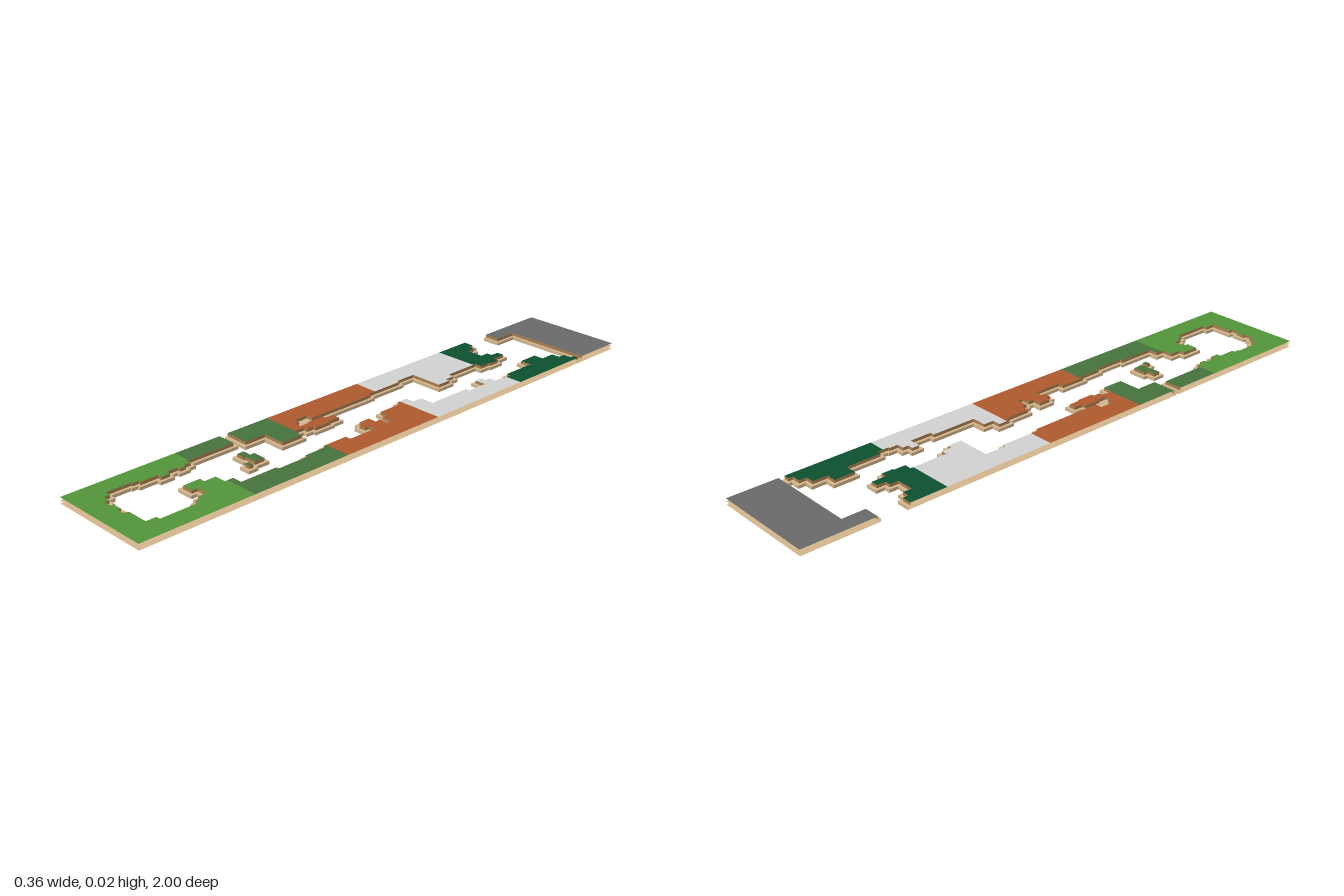
import * as THREE from 'three';

const mat = (name, color) => {
  const m = new THREE.MeshStandardMaterial({ color, side: THREE.DoubleSide });
  m.name = name;
  return m;
};

// Land outlines in hundredths of a unit, right-angled steps: x, z, x, z ...
const OUTLINES = {
  backPlateau: [-18, -100, 18, -83, -12.5, -75, -18],
  leftBank: [
    -18, -64, -14.5, -62, -12, -59, -6, -62, -4, -65, -1.5, -60, 0.5, -56, 0, -52,
    -2.5, -39, -0.5, -35.5, 1, -30.5, -10.5, -23, -9.5, -9, -8.5, 16, -11, 21,
    -9, 22.5, -6.5, 19, -7, 13, -5.5, 10, -3, 14, -2.5, 20, -3.5, 22.5, -5, 26.5,
    -1.5, 34, -9.5, 41.5, -18],
  mainBank: [
    -18, 44.5, -11.5, 61.5, -10, 64, -9, 66, -10, 70, -8.5, 73, -10, 79, -11, 81,
    -11.5, 89.5, -9.5, 91.5, -7, 93, -4, 92, -1, 93, 2, 91.5, 9.5, 88, 11, 75,
    9.5, 73, 8, 70, 4, 72, 0, 66, 2, 62, 6, 59, 9.5, 46, 10.5, 35, 9.5, 27,
    8.5, 18, 10.5, 8, 8, 9.5, 5.5, 8, 4, 4, 7, 2, 10, 0, 6, -2, 3, -11,
    1.5, -15, 4.5, -18.5, 9.5, -34, 11, -41.5, 7, -44, 9, -46, 11.5, -49,
    12, -53, 10.5, -65, 6.5, -72, 10, -77, 13, -79.5, 16, -81, 18, 100, -18],
  island: [-5, 46, -2, 44.5, 2.5, 48, -2, 48.5, -5],
  islet: [1.5, 49.5, 3.5, 51, 1.5],
};

// Turn the alternating list into corner points
function corners(list) {
  const pts = [[list[0], list[1]]];
  for (let i = 2; i < list.length; i++) {
    pts.push(i % 2 ? [list[i - 1], list[i]] : [list[i], list[i - 1]]);
  }
  return pts.map(([x, z]) => [x / 100, z / 100]);
}

const onBorder = (a, b) =>
  (a[0] === b[0] && Math.abs(a[0]) === 0.18) || (a[1] === b[1] && Math.abs(a[1]) === 1);

// Widen an outline by d, leaving the outer border of the board in place
function widen(pts, d) {
  const n = pts.length;
  const push = (a, b) => (onBorder(a, b) ? [0, 0]
    : [Math.sign(b[1] - a[1]) * d, -Math.sign(b[0] - a[0]) * d]);
  return pts.map((p, i) => {
    const u = push(pts[(i + n - 1) % n], p), v = push(p, pts[(i + 1) % n]);
    return [p[0] + u[0] + v[0], p[1] + u[1] + v[1]];
  });
}

function quadMesh(name, quads, material) {
  const pos = [];
  for (const [a, b, c, d] of quads) pos.push(...a, ...b, ...c, ...a, ...c, ...d);
  const g = new THREE.BufferGeometry();
  g.setAttribute('position', new THREE.Float32BufferAttribute(pos, 3));
  g.computeVertexNormals();
  const mesh = new THREE.Mesh(g, material);
  mesh.name = name;
  return mesh;
}

// Flat sheet inside an outline between two z limits, cut into slabs
function sheet(pts, y, zMin, zMax, up = true) {
  const zs = [...new Set([zMin, zMax, ...pts.map((p) => p[1])])]
    .filter((z) => z >= zMin && z <= zMax).sort((a, b) => a - b);
  const quads = [];
  for (let i = 0; i + 1 < zs.length; i++) {
    const z0 = zs[i], z1 = zs[i + 1], mid = (z0 + z1) / 2, xs = [];
    pts.forEach((a, k) => {
      const b = pts[(k + 1) % pts.length];
      if ((a[1] < mid) !== (b[1] < mid)) xs.push(a[0]);
    });
    xs.sort((a, b) => a - b);
    for (let k = 0; k + 1 < xs.length; k += 2) {
      const q = [[xs[k], y, z0], [xs[k], y, z1], [xs[k + 1], y, z1], [xs[k + 1], y, z0]];
      quads.push(up ? q : q.reverse());
    }
  }
  return quads;
}

// Shore walls; the outer border stays open
function walls(pts, y0, y1) {
  const quads = [];
  pts.forEach((a, i) => {
    const b = pts[(i + 1) % pts.length];
    if (onBorder(a, b)) return;
    quads.push([[a[0], y0, a[1]], [a[0], y1, a[1]], [b[0], y1, b[1]], [b[0], y0, b[1]]]);
  });
  return quads;
}

export function createModel() {
  const root = new THREE.Group();
  root.name = 'terrainBoard';
  const sand = mat('sand', 0xd2b48c);
  const earth = mat('earth', 0xa67d50);
  const regions = [
    ['stoneGround', mat('stone grey', 0x696969), -1, -0.74],
    ['pineGround', mat('pine green', 0x0c5130), -0.82, -0.51],
    ['snowGround', mat('snow grey', 0xd0d0d0), -0.51, -0.12],
    ['clayGround', mat('clay orange', 0xad592d), -0.12, 0.26],
    ['forestGround', mat('forest green', 0x46723d), 0.26, 0.61],
    ['meadowGround', mat('meadow green', 0x53943a), 0.61, 1],
  ];

  for (const [name, list] of Object.entries(OUTLINES)) {
    const land = new THREE.Group();
    land.name = name;
    const top = corners(list), base = widen(top, 0.01);

    // Coloured ground, one sheet per region
    for (const [region, material, z0, z1] of regions) {
      if ((region === 'stoneGround') !== (name === 'backPlateau')) continue;
      const quads = sheet(top, 0.02, z0, z1);
      if (quads.length) land.add(quadMesh(region, quads, material));
    }
    // Upper bank and the wider sand step below it
    land.add(quadMesh('earthBank', walls(top, 0.01, 0.02), earth));
    land.add(quadMesh('sandStep', [
      ...sheet(base, 0.01, -1, 1), ...walls(base, 0, 0.01), ...sheet(base, 0, -1, 1, false),
    ], sand));
    root.add(land);
  }

  // Sandy floor of the small hollow on the left bank
  const hollow = corners([-11, 16, -6.5, 22.5, -11]);
  root.add(quadMesh('hollowFloor', [
    ...sheet(hollow, 0.01, -1, 1), ...sheet(hollow, 0, -1, 1, false),
  ], sand));
  return root;
}
